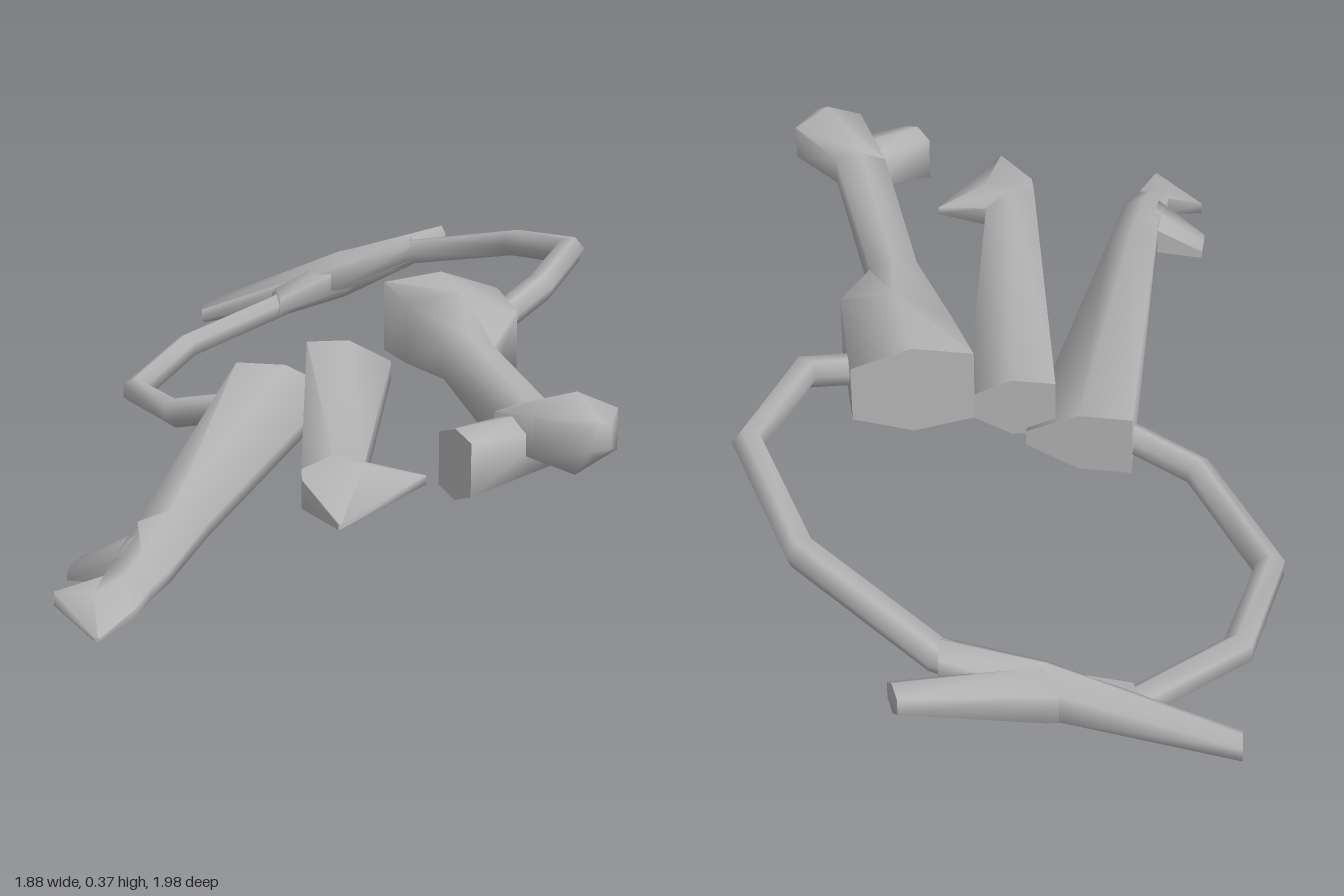
import * as THREE from 'three';
import { toCreasedNormals } from 'three/addons/utils/BufferGeometryUtils.js';

const bone = new THREE.MeshStandardMaterial({ color: 0xb4b4b4 });
bone.name = 'plainGrey';

// Six-sided loft. Each section: [leftX, leftZ, rightX, rightZ, y, leftHalf, midHalf, rightHalf]
function loft(sections) {
  const pos = [], idx = [], n = 6, last = sections.length - 1;
  for (const [lx, lz, rx, rz, y, hl, hm, hr] of sections) {
    const mx = (lx + rx) / 2, mz = (lz + rz) / 2;
    pos.push(lx, y - hl, lz, lx, y + hl, lz, mx, y + hm, mz);
    pos.push(rx, y + hr, rz, rx, y - hr, rz, mx, y - hm, mz);
  }
  for (let i = 0; i < last; i++) {
    for (let j = 0; j < n; j++) {
      const a = i * n + j, b = i * n + (j + 1) % n;
      idx.push(a, a + n, b + n, a, b + n, b);
    }
  }
  for (let j = 1; j < n - 1; j++) {
    idx.push(0, j, j + 1, last * n, last * n + j + 1, last * n + j);
  }
  const geo = new THREE.BufferGeometry();
  geo.setAttribute('position', new THREE.Float32BufferAttribute(pos, 3));
  geo.setIndex(idx);
  return toCreasedNormals(geo, 1.35);
}

// Tapered straight strand; each point: [x, y, z, halfWidth, halfHeight]
function strand(points) {
  const a = points[0], b = points[points.length - 1];
  const dx = b[0] - a[0], dz = b[2] - a[2], d = Math.hypot(dx, dz);
  const sx = -dz / d, sz = dx / d;
  return loft(points.map(([x, y, z, w, h]) =>
    [x + sx * w, z + sz * w, x - sx * w, z - sz * w, y, h * 0.5, h, h * 0.5]));
}

function part(name, ...geometries) {
  const g = new THREE.Group();
  g.name = name;
  geometries.forEach((geo, i) => {
    const m = new THREE.Mesh(geo, bone);
    m.name = name + (i ? 'Detail' + i : 'Body');
    g.add(m);
  });
  return g;
}

export function createModel() {
  const model = new THREE.Group();
  model.name = 'boneCharmLoop';

  // Cord, bent sharply at each point
  const path = [
    [0.34, 0.26, 0.13], [0.4, 0.28, 0.13], [0.5, 0.32, 0.12], [0.74, 0.345, -0.04],
    [0.84, 0.31, -0.32], [0.8, 0.25, -0.62], [0.68, 0.19, -0.75], [0.54, 0.12, -0.81],
    [0.26, 0.07, -0.78], [0.01, 0.035, -0.62], [-0.09, 0.06, -0.33], [-0.03, 0.1, -0.16],
  ].map(p => new THREE.Vector3(...p));
  const curve = new THREE.CatmullRomCurve3(path);
  curve.getPointAt = curve.getPoint;
  curve.getTangentAt = curve.getTangent;
  model.add(part('cord', new THREE.TubeGeometry(curve, path.length - 1, 0.03, 6)));

  // Loose ends of the knot
  model.add(part('cordEnds',
    strand([[0.8, 0.25, -0.63, 0.03, 0.035], [0.68, 0.19, -0.75, 0.04, 0.055], [0.455, 0.09, -0.98, 0.024, 0.024]]),
    strand([[0.54, 0.13, -0.81, 0.03, 0.035], [0.7, 0.19, -0.75, 0.04, 0.055], [0.93, 0.26, -0.67, 0.024, 0.03]])));

  // Long hook with a spur and a swept point
  model.add(part('longHook',
    loft([
      [0, -0.24, 0.13, -0.08, 0.11, 0.06, 0.06, 0.015],
      [-0.67, 0.38, -0.55, 0.415, 0.075, 0.03, 0.045, 0.012],
      [-0.78, 0.47, -0.72, 0.545, 0.06, 0.022, 0.035, 0.01],
      [-0.82, 0.5, -0.78, 0.575, 0.05, 0.02, 0.03, 0.01],
      [-0.89, 0.46, -0.83, 0.605, 0.035, 0.012, 0.022, 0.008],
      [-0.94, 0.655, -0.935, 0.66, 0.03, 0.003, 0.004, 0.003],
    ]),
    loft([
      [-0.66, 0.39, -0.77, 0.48, 0.065, 0.03, 0.035, 0.025],
      [-0.74, 0.31, -0.8, 0.36, 0.03, 0.008, 0.012, 0.008],
    ])));

  // Barbed point
  model.add(part('barbedPoint',
    loft([
      [0.08, -0.11, 0.2, 0.01, 0.17, 0.055, 0.06, 0.02],
      [-0.46, 0.56, -0.33, 0.57, 0.17, 0.03, 0.045, 0.02],
      [-0.49, 0.6, -0.27, 0.66, 0.17, 0.025, 0.04, 0.008],
      [-0.55, 0.77, -0.545, 0.772, 0.165, 0.004, 0.005, 0.003],
    ])));

  // Bone with a broad head and a forked end
  model.add(part('forkedBone',
    loft([
      [0.24, -0.06, 0.43, 0.07, 0.265, 0.07, 0.09, 0.055],
      [0.17, 0.09, 0.29, 0.28, 0.265, 0.06, 0.09, 0.06],
      [0.05, 0.34, 0.14, 0.38, 0.265, 0.028, 0.048, 0.028],
      [-0.19, 0.74, -0.11, 0.81, 0.265, 0.028, 0.045, 0.028],
    ]),
    loft([
      [-0.19, 0.74, -0.11, 0.81, 0.265, 0.028, 0.045, 0.028],
      [-0.25, 0.9, -0.1, 0.94, 0.29, 0.035, 0.07, 0.035],
      [-0.2, 0.98, -0.16, 0.985, 0.295, 0.02, 0.03, 0.02],
    ]),
    loft([
      [-0.15, 0.76, -0.19, 0.88, 0.26, 0.03, 0.045, 0.03],
      [-0.33, 0.76, -0.34, 0.85, 0.24, 0.045, 0.06, 0.045],
    ])));

  return model;
}
